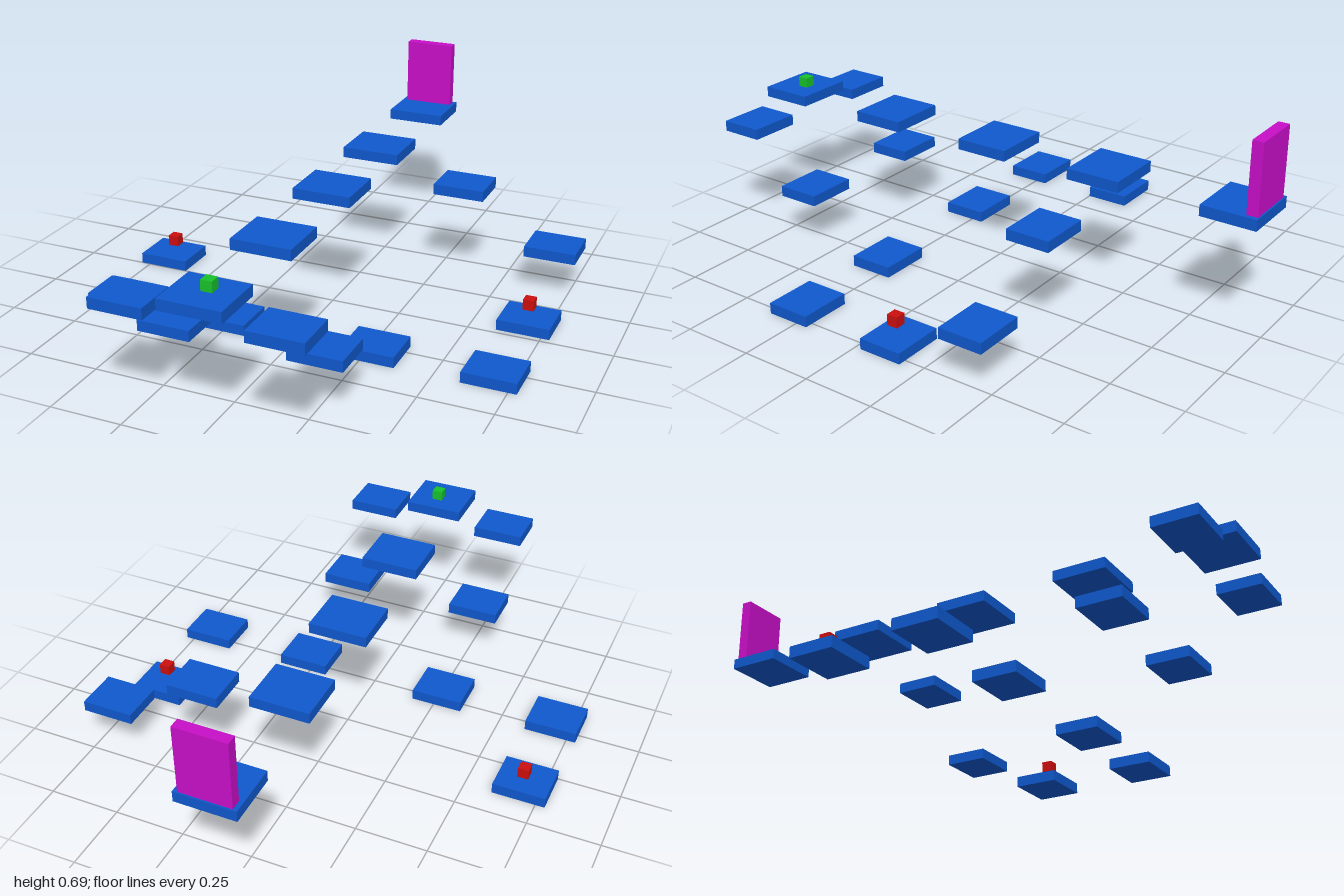
import * as THREE from 'three';

export function createModel() {
  const model = new THREE.Group();
  model.name = 'platformCourse';

  const paint = (color) => new THREE.MeshStandardMaterial({ color });
  const blue = paint(0x0f58cc);
  const red = paint(0xcc0f0f);
  const green = paint(0x17c02a);
  const magenta = paint(0xc80fc8);

  const largeSlab = new THREE.BoxGeometry(0.21, 0.038, 0.19);
  const smallSlab = new THREE.BoxGeometry(0.185, 0.038, 0.155);
  const cube = new THREE.BoxGeometry(0.038, 0.038, 0.038);

  function add(name, geometry, material, x, y, z) {
    const mesh = new THREE.Mesh(geometry, material);
    mesh.name = name;
    mesh.position.set(x, y, z);
    model.add(mesh);
  }

  // Upper row of large platforms down the middle
  [-0.905, -0.43, 0.007, 0.46, 0.905].forEach((z, i) =>
    add(`mainPlatform${i + 1}`, largeSlab, blue, 0, 0.431, z));

  // Small platforms stepping down to the ground and back up
  [
    [0.253, 0.375, 0.9], [-0.26, 0.375, 0.9],
    [0.253, 0.184, 0.638], [-0.26, 0.177, 0.645],
    [0.278, 0.02, 0.285], [-0.26, 0.02, 0.285],
    [0.686, 0.02, 0.285], [-0.69, 0.02, 0.285],
    [0.686, 0.02, -0.098], [-0.69, 0.02, -0.078],
    [0.686, 0.163, -0.405], [0.342, 0.345, -0.405],
  ].forEach((p, i) => add(`stepPlatform${i + 1}`, smallSlab, blue, ...p));

  // Floating pickups on the two side routes
  add('leftPickup', cube, red, 0.687, 0.088, -0.09);
  add('rightPickup', cube, red, -0.687, 0.078, -0.09);

  // Start marker at the front, goal door at the back
  add('startMarker', cube, green, 0.008, 0.467, 0.89);
  add('goalDoor', new THREE.BoxGeometry(0.18, 0.242, 0.038), magenta, 0, 0.57, -0.976);

  return model;
}
